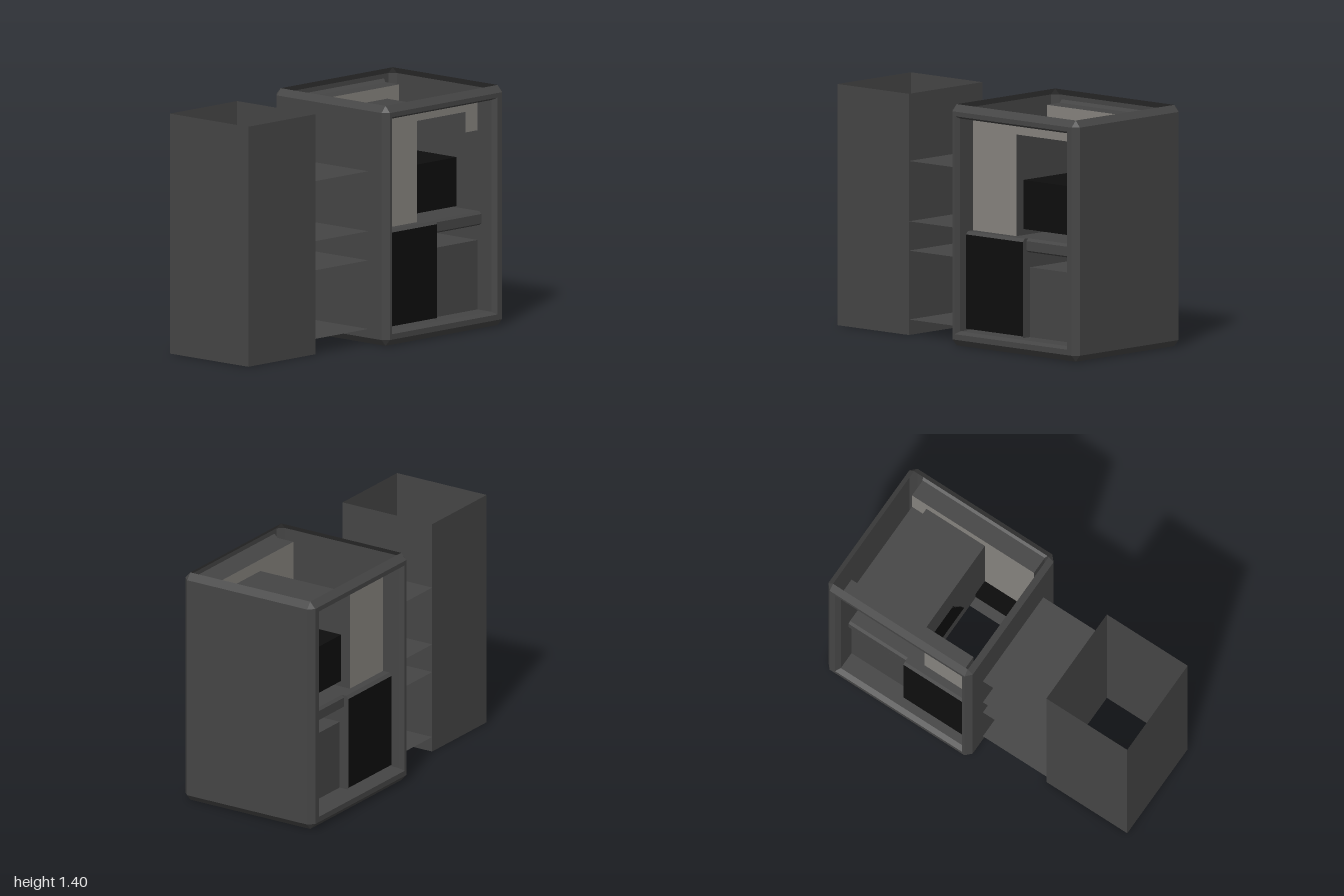
import * as THREE from 'three';

const material = (name, color) => {
  const m = new THREE.MeshStandardMaterial({ color, side: THREE.DoubleSide });
  m.name = name;
  return m;
};

// Flat-shaded skin joining loops of points; skip(i) leaves side i open
function loft(loops, { closed = true, skip = () => false } = {}) {
  const pos = [];
  for (let k = 0; k < loops.length - 1; k++) {
    const a = loops[k], b = loops[k + 1], n = a.length;
    for (let i = 0; i < (closed ? n : n - 1); i++) {
      if (skip(i, k)) continue;
      const j = (i + 1) % n;
      pos.push(...a[i], ...a[j], ...b[j], ...a[i], ...b[j], ...b[i]);
    }
  }
  const g = new THREE.BufferGeometry();
  g.setAttribute('position', new THREE.Float32BufferAttribute(pos, 3));
  g.computeVertexNormals();
  return g;
}

// Rectangle with cut corners at depth z; sides 0 and 4 are bottom and top
const ring = (x0, x1, y0, y1, z, cx = 0, cy = 0) => [
  [x0 + cx, y0, z], [x1 - cx, y0, z], [x1, y0 + cy, z], [x1, y1 - cy, z],
  [x1 - cx, y1, z], [x0 + cx, y1, z], [x0, y1 - cy, z], [x0, y0 + cy, z],
];

// Walls following a path in x and y, running from -depth to depth in z
const walls = (path, depth, closed = false) =>
  loft([-depth, depth].map((z) => path.map(([x, y]) => [x, y, z])), { closed });

const rect = (x0, x1, y0, y1) => [[x0, y0], [x1, y0], [x1, y1], [x0, y1]];

export function createModel() {
  const model = new THREE.Group();
  const grey = material('dark grey', 0x454545);
  const light = material('warm grey', 0x86837e);
  const black = material('black', 0x0e0e0e);

  const add = (name, geometry, mat, parent = model) => {
    const mesh = new THREE.Mesh(geometry, mat);
    mesh.name = name;
    parent.add(mesh);
    return mesh;
  };
  const sheet = (points, z) =>
    new THREE.ShapeGeometry(new THREE.Shape(points.map((p) => new THREE.Vector2(...p)))).translate(0, 0, z);

  // Open tower and the two ducts joining it to the casing
  const D = 0.31;
  add('tower', loft([0, 1.4].map((y) => [[-1, y, -D], [-0.44, y, -D], [-0.44, y, D], [-1, y, D]])), grey);
  add('lowerDuct', walls(rect(-0.44, 0, 0.09, 0.49), D, true), grey);
  add('upperDuct', walls(rect(-0.44, 0, 0.66, 1.01), D, true), grey);

  // Casing sides with chamfered edges, open at top and bottom
  const outer = (z) => ring(0, 1, 0, 1.4, z, 0.033, 0.038);
  add('casingSides', loft([outer(-0.415), outer(0.415)], { skip: (i) => i === 0 || i === 4 }), grey);

  // Front and back faces share one layout
  for (const s of [1, -1]) {
    const face = new THREE.Group();
    face.name = s > 0 ? 'frontFace' : 'backFace';
    model.add(face);

    // Chamfered rim and the recess behind it
    add('rim', loft([
      outer(0.415 * s),
      ring(0.033, 0.967, 0.038, 1.362, 0.45 * s),
      ring(0.05, 0.93, 0.07, 1.335, 0.45 * s),
      ring(0.065, 0.91, 0.085, 1.32, 0.42 * s),
      ring(0.065, 0.91, 0.085, 1.32, D * s),
    ]), grey, face);

    // Upper panel around the window
    add('upperPanel', sheet([
      [0.065, 0.66], [0.405, 0.66], [0.405, 1.25], [0.81, 1.25],
      [0.81, 1.13], [0.91, 1.13], [0.91, 1.32], [0.065, 1.32],
    ], D * s), light, face);

    // Ledge, dark door and lower panel
    add('ledge', loft([[0.66, D], [0.66, 0.355], [0.642, 0.37]].map(
      ([y, z]) => [[0.065, y, z * s], [0.51, y, z * s]]), { closed: false }), grey, face);
    add('door', sheet(rect(0.065, 0.51, 0.095, 0.642), 0.37 * s), black, face);
    add('lowerPanel', sheet(rect(0.51, 0.91, 0.085, 0.49), D * s), grey, face);
  }

  // Passages running through the casing
  add('windowTunnel', walls([
    [0.51, 0.66], [0.405, 0.66], [0.405, 1.25], [0.81, 1.25], [0.81, 1.13], [0.91, 1.13], [0.91, 0.49], [0.51, 0.49],
  ], D), grey);
  add('doorSide', walls([[0.51, 0.085], [0.51, 0.642]], 0.37), grey);

  // Middle bar with chamfered long edges
  const bar = [[0.58, 0.325], [0.59, 0.34], [0.645, 0.34], [0.66, 0.325],
    [0.66, -0.325], [0.645, -0.34], [0.59, -0.34], [0.58, -0.325]];
  add('middleBar', loft([0.51, 0.91].map((x) => bar.map(([y, z]) => [x, y, z]))), grey);

  // Dark block in the window
  add('windowBlock', new THREE.BoxGeometry(0.395, 0.285, 0.5).translate(0.6025, 0.8375, 0), black);

  return model;
}
